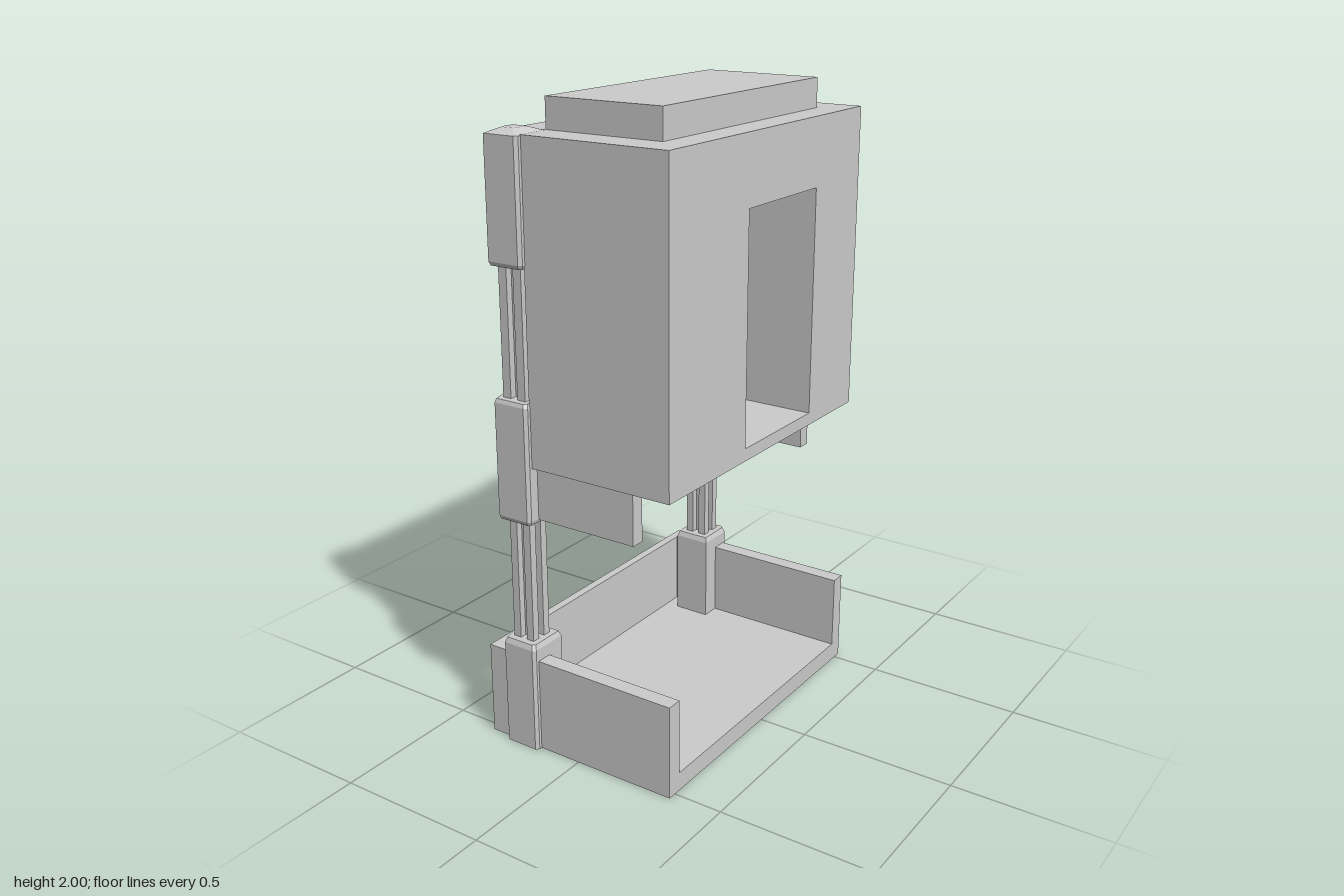
import * as THREE from 'three';
import { ConvexGeometry } from 'three/addons/geometries/ConvexGeometry.js';

const material = new THREE.MeshStandardMaterial({ color: 0xcccccc, flatShading: true });

function add(parent, name, geometry) {
  const mesh = new THREE.Mesh(geometry, material);
  mesh.name = name;
  parent.add(mesh);
  return mesh;
}

// Box given by its limits on each axis
function box(parent, name, [x0, x1], [y0, y1], [z0, z1]) {
  const geometry = new THREE.BoxGeometry(x1 - x0, y1 - y0, z1 - z0);
  geometry.translate((x0 + x1) / 2, (y0 + y1) / 2, (z0 + z1) / 2);
  return add(parent, name, geometry);
}

const CX = -0.208, CZ = 0.481; // post centre

// Bevelled sleeve: the outline is scaled at each [height, scale] level
const outline = [[-0.145, 0.415], [-0.145, 0.538], [-0.155, 0.547], [-0.262, 0.547], [-0.275, 0.5], [-0.268, 0.415]];
function sleeve(parent, name, side, levels) {
  const points = [];
  for (const [y, s] of levels)
    for (const [x, z] of outline)
      points.push(new THREE.Vector3(CX + (x - CX) * s, y, side * (CZ + (z - CZ) * s)));
  return add(parent, name, new ConvexGeometry(points));
}

// Square rail with a slot along each of its four sides
function rail(parent, name, side, y0, y1, half) {
  const shape = new THREE.Shape();
  const quarter = [[half, -half], [half, -0.012], [half - 0.022, -0.012], [half - 0.022, 0.012], [half, 0.012]];
  const points = [];
  for (let i = 0; i < 4; i++)
    for (const [x, y] of quarter)
      points.push(new THREE.Vector2(x, y).rotateAround(new THREE.Vector2(), i * Math.PI / 2));
  shape.setFromPoints(points);
  const geometry = new THREE.ExtrudeGeometry(shape, { depth: y1 - y0, bevelEnabled: false });
  geometry.rotateX(-Math.PI / 2);
  geometry.translate(CX, y0, side * CZ);
  return add(parent, name, geometry);
}

function rectangle(path, x0, x1, y0, y1) {
  path.moveTo(x0, y0);
  path.lineTo(x1, y0);
  path.lineTo(x1, y1);
  path.lineTo(x0, y1);
  path.closePath();
  return path;
}

export function createModel() {
  const model = new THREE.Group();
  model.name = 'liftCabin';

  // Base tray, open towards +x
  const tray = new THREE.Group();
  tray.name = 'baseTray';
  model.add(tray);
  box(tray, 'trayFloor', [-0.34, 0.34], [0, 0.06], [-0.528, 0.528]);
  box(tray, 'trayBackWall', [-0.34, -0.312], [0.06, 0.305], [-0.528, 0.528]);
  for (const side of [1, -1]) {
    const z = [0.477 * side, 0.528 * side].sort((a, b) => a - b);
    box(tray, 'traySideWall', [-0.312, 0.34], [0.06, 0.305], z);
  }

  // Cabin with a deep doorway; the rear corners are cut back for the posts
  const cabin = new THREE.Group();
  cabin.name = 'cabin';
  model.add(cabin);
  const wall = rectangle(new THREE.Shape(), -0.528, 0.528, 0.94, 1.908);
  wall.holes.push(rectangle(new THREE.Path(), -0.13, 0.255, 0.98, 1.695));
  const body = new THREE.ExtrudeGeometry(wall, { depth: 0.488, bevelEnabled: false });
  body.rotateY(Math.PI / 2);
  body.translate(-0.148, 0, 0);
  add(cabin, 'cabinBody', body);
  box(cabin, 'cabinBack', [-0.25, -0.148], [0.94, 1.908], [-0.418, 0.418]);
  box(cabin, 'roofBox', [-0.148, 0.245], [1.908, 2], [-0.416, 0.416]);

  // Carrier under the cabin
  box(model, 'carrierBeam', [-0.25, -0.2], [0.77, 0.94], [-0.42, 0.42]);

  // Posts, sleeves and carrier arms on both sides
  for (const side of [1, -1]) {
    const post = new THREE.Group();
    post.name = side > 0 ? 'frontPost' : 'backPost';
    model.add(post);
    sleeve(post, 'baseSleeve', side, [[0, 1], [0.345, 1], [0.362, 0.9]]);
    sleeve(post, 'middleSleeve', side, [[0.76, 0.93], [0.772, 1], [1.128, 1], [1.14, 0.93]]);
    sleeve(post, 'topSleeve', side, [[1.535, 0.93], [1.547, 1], [1.905, 1], [1.92, 0.4]]);
    rail(post, 'lowerRail', side, 0.34, 0.8, 0.038);
    rail(post, 'upperRail', side, 1.1, 1.57, 0.041);
    const z = [0.46 * side, 0.505 * side].sort((a, b) => a - b);
    box(post, 'carrierArm', [-0.2, 0.2], [0.77, 0.94], z);
  }
  return model;
}
